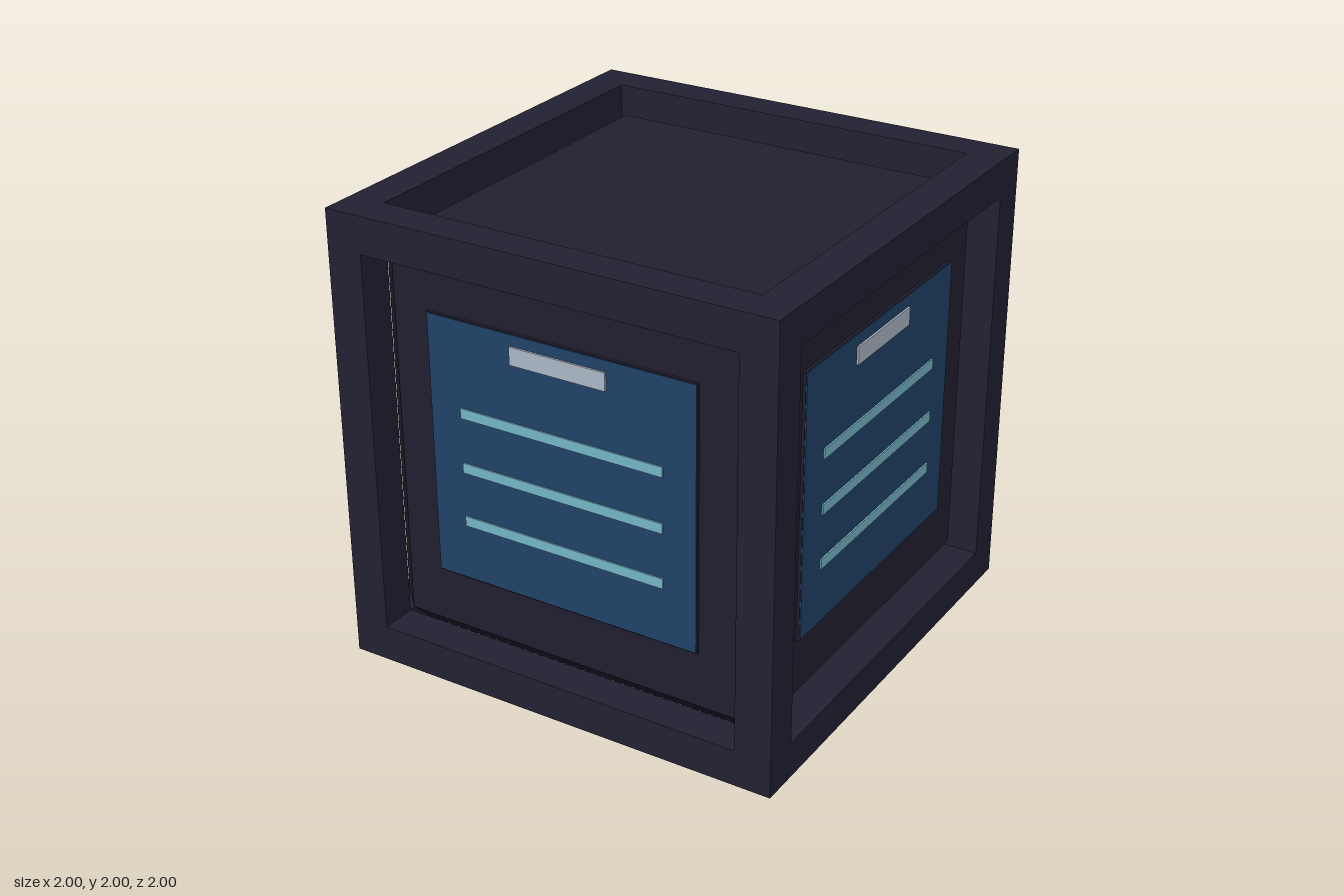
import * as THREE from 'three';
import { ConvexGeometry } from 'three/addons/geometries/ConvexGeometry.js';

const material = (name, color) => {
  const m = new THREE.MeshStandardMaterial({ color });
  m.name = name;
  return m;
};

export function createModel() {
  const frameDark = material('frameDark', 0x222234);
  const bodyDark = material('bodyDark', 0x222031);
  const panelBlue = material('panelBlue', 0x22446a);
  const stripeTeal = material('stripeTeal', 0x78bacb);
  const plateGrey = material('plateGrey', 0xb0bbca);

  const model = new THREE.Group();
  model.name = 'crate';

  const addBox = (parent, name, mat, size, pos) => {
    const mesh = new THREE.Mesh(new THREE.BoxGeometry(...size), mat);
    mesh.name = name;
    mesh.position.set(...pos);
    parent.add(mesh);
  };

  // Frame: four full-height posts, with rails between them at top and bottom
  const beam = 0.16, mid = 1 - beam / 2, span = 2 - 2 * beam;
  const frame = new THREE.Group();
  frame.name = 'frame';
  model.add(frame);
  for (const a of [-1, 1]) {
    for (const b of [-1, 1]) {
      addBox(frame, 'post', frameDark, [beam, 2, beam], [a * mid, 1, b * mid]);
      addBox(frame, 'railAcross', frameDark, [span, beam, beam], [0, 1 + a * mid, b * mid]);
      addBox(frame, 'railAlong', frameDark, [beam, beam, span], [b * mid, 1 + a * mid, 0]);
    }
  }

  // Body: cube with chamfered edges, recessed inside the frame
  const outer = 0.888, flat = 0.78;
  const corners = [];
  for (const x of [-1, 1]) for (const y of [-1, 1]) for (const z of [-1, 1]) {
    corners.push(
      new THREE.Vector3(x * outer, y * flat, z * flat),
      new THREE.Vector3(x * flat, y * outer, z * flat),
      new THREE.Vector3(x * flat, y * flat, z * outer)
    );
  }
  const body = new THREE.Mesh(new ConvexGeometry(corners), bodyDark);
  body.name = 'body';
  body.position.y = 1;
  model.add(body);

  // Decorated panel on each of the four sides
  ['front', 'left', 'back', 'right'].forEach((name, i) => {
    const side = new THREE.Group();
    side.name = name + 'Panel';
    side.rotation.y = i * Math.PI / 2;
    addBox(side, 'panelBacking', bodyDark, [1.226, 1.156, 0.03], [0, 1.042, 0.885]);
    addBox(side, 'panelFace', panelBlue, [1.22, 1.146, 0.006], [0, 1.043, 0.902]);
    addBox(side, 'labelPlate', plateGrey, [0.435, 0.077, 0.009], [0, 1.53, 0.909]);
    for (const y of [0.737, 0.978, 1.22]) {
      addBox(side, 'stripe', stripeTeal, [0.93, 0.044, 0.007], [0, y, 0.908]);
    }
    model.add(side);
  });

  return model;
}
